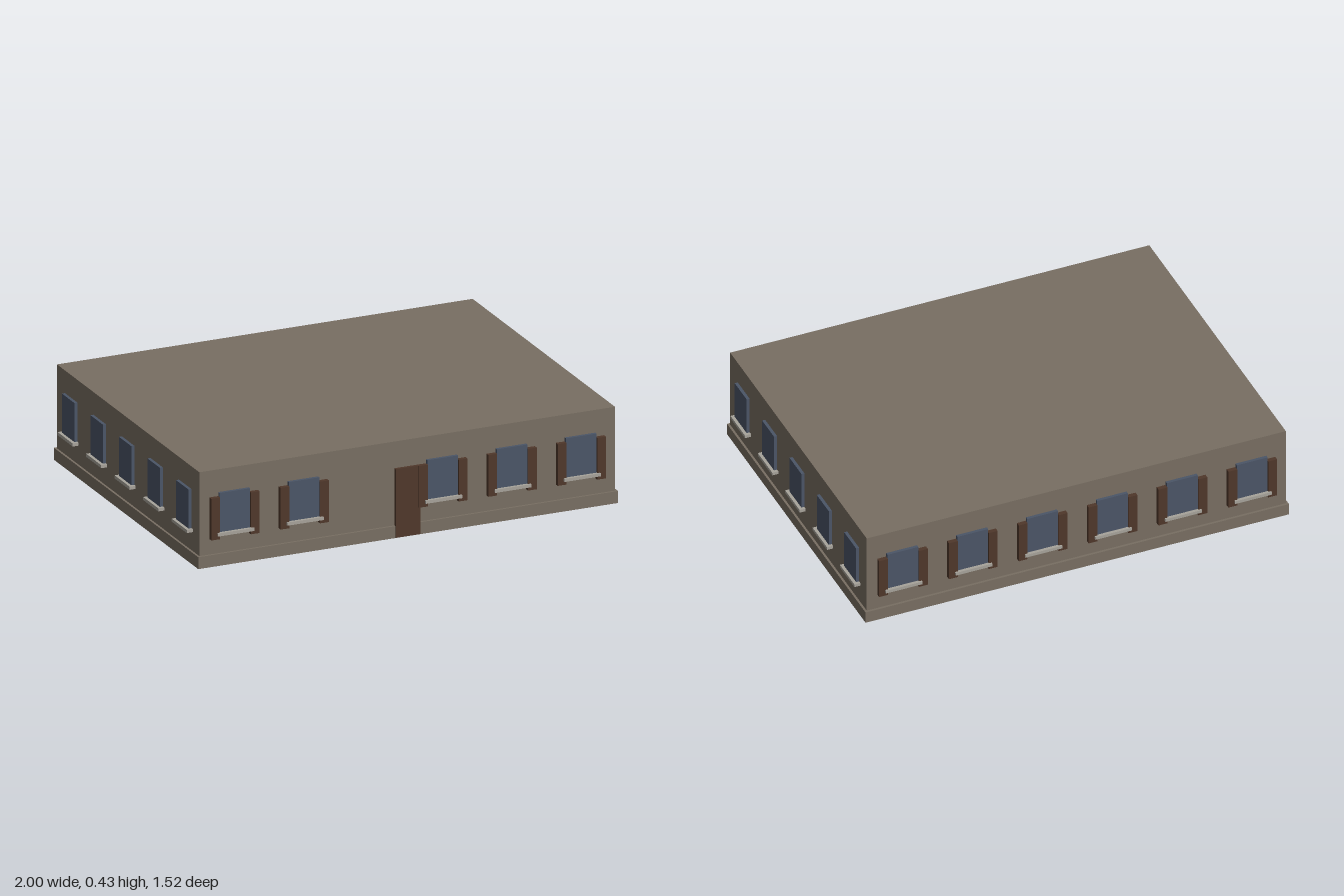
import * as THREE from 'three';

const WALL_X = 0.972, WALL_Z = 0.73;

function material(name, color) {
  const m = new THREE.MeshStandardMaterial({ color });
  m.name = name;
  return m;
}

export function createModel() {
  const stone = material('taupe wall', 0x786e62);
  const glass = material('blue grey glass', 0x4b5567);
  const wood = material('brown wood', 0x4f372a);
  const sillStone = material('pale sill', 0xa7a39b);

  const model = new THREE.Group();
  model.name = 'building';

  // Box given by its centre x, bottom, top, back and front
  function box(parent, name, mat, x, width, y0, y1, z0, z1) {
    const mesh = new THREE.Mesh(new THREE.BoxGeometry(width, y1 - y0, z1 - z0), mat);
    mesh.position.set(x, (y0 + y1) / 2, (z0 + z1) / 2);
    mesh.name = name;
    parent.add(mesh);
  }

  // Window facing +z with the wall surface at z = 0
  function addWindow(wall, x, width, shutters) {
    const win = new THREE.Group();
    win.name = 'window';
    win.position.x = x;
    box(win, 'pane', glass, 0, width, 0.147, 0.331, -0.01, 0.014);
    box(win, 'sill', sillStone, 0, width + 0.027, 0.14, 0.154, -0.01, 0.028);
    if (shutters) {
      for (const side of [-1, 1]) {
        box(win, 'shutter', wood, side * 0.0925, 0.041, 0.124, 0.313, -0.01, 0.02);
      }
    }
    wall.add(win);
  }

  function addWall(name, angle, distance) {
    const wall = new THREE.Group();
    wall.name = name;
    wall.rotation.y = angle;
    wall.position.set(Math.sin(angle) * distance, 0, Math.cos(angle) * distance);
    model.add(wall);
    return wall;
  }

  // Main block and plinth
  box(model, 'mainBlock', stone, 0, 2 * WALL_X, 0.054, 0.434, -WALL_Z, WALL_Z);
  box(model, 'plinth', stone, 0, 1.964, 0, 0.054, -0.741, 0.741);

  // Long walls with shuttered windows; the door replaces one at the front
  const front = addWall('frontWall', 0, WALL_Z);
  const back = addWall('backWall', Math.PI, WALL_Z);
  for (let i = 0; i < 6; i++) {
    const x = (i - 2.5) * 0.324;
    if (i !== 2) addWindow(front, x - 0.002, 0.143, true);
    addWindow(back, -x, 0.143, true);
  }
  box(front, 'door', wood, -0.002, 0.116, 0.002, 0.313, -0.01, 0.0145);

  // Short walls with plain windows
  for (const side of [-1, 1]) {
    const wall = addWall(side > 0 ? 'leftWall' : 'rightWall', side * Math.PI / 2, WALL_X);
    for (let i = -2; i <= 2; i++) addWindow(wall, i * 0.2925, 0.128, false);
  }

  return model;
}
